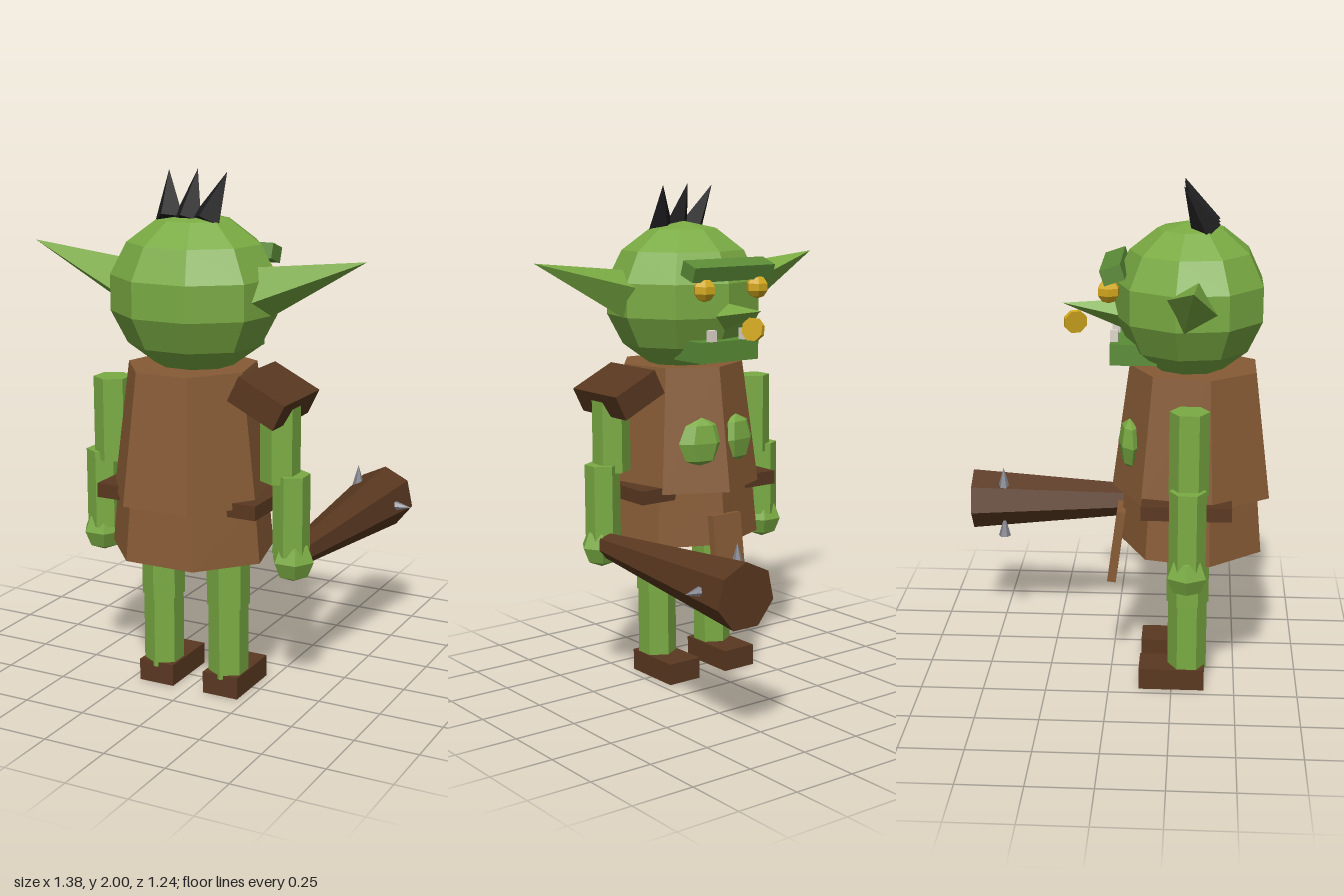
import * as THREE from 'three';

export function createModel() {
  const root = new THREE.Group();
  root.name = 'goblinWithClub';

  const mat = (name, color) => {
    const m = new THREE.MeshStandardMaterial({ color, flatShading: true });
    m.name = name;
    return m;
  };
  const skin = mat('skin green', 0x7aab43);
  const darkSkin = mat('dark green', 0x5b8c37);
  const leather = mat('tunic brown', 0x875b35);
  const wood = mat('dark brown', 0x5a3820);
  const gold = mat('gold', 0xd4aa1e);
  const black = mat('hair black', 0x1c1c1e);
  const metal = mat('spike grey', 0x80808a);
  const ivory = mat('tooth ivory', 0xded6ca);

  const add = (name, geometry, material, x, y, z) => {
    const m = new THREE.Mesh(geometry, material);
    m.name = name;
    m.position.set(x, y, z);
    root.add(m);
    return m;
  };
  const box = (name, w, h, d, material, x, y, z) =>
    add(name, new THREE.BoxGeometry(w, h, d), material, x, y, z);

  // Tapered prism running from point a (radius ra) to point b (radius rb)
  const limb = (name, a, b, ra, rb, sides, material, twist = 0) => {
    const from = new THREE.Vector3(...a), to = new THREE.Vector3(...b);
    const dir = to.clone().sub(from);
    const g = rb === 0
      ? new THREE.ConeGeometry(ra, dir.length(), sides)
      : new THREE.CylinderGeometry(rb, ra, dir.length(), sides);
    g.rotateY(twist);
    const mid = from.add(to).multiplyScalar(0.5);
    const m = add(name, g, material, mid.x, mid.y, mid.z);
    m.quaternion.setFromUnitVectors(new THREE.Vector3(0, 1, 0), dir.normalize());
    return m;
  };

  // Torso, skirt, belt and loincloth; the figure faces -z
  const tunic = new THREE.CylinderGeometry(0.25, 0.315, 0.495, 7).rotateY(Math.PI);
  add('tunic', tunic, leather, 0, 1.0375, 0.328).scale.set(0.98, 1, 1.03);
  const skirt = new THREE.CylinderGeometry(0.3, 0.323, 0.23, 7).rotateY(Math.PI);
  add('skirt', skirt, leather, 0, 0.685, 0.328).scale.set(1, 1, 0.91);
  box('belt', 0.67, 0.055, 0.345, wood, 0, 0.788, 0.302);
  box('loincloth', 0.14, 0.3, 0.035, leather, 0, 0.547, 0.022).rotation.x = 0.13;
  box('shoulderPad', 0.204, 0.105, 0.305, wood, 0.325, 1.193, 0.302).rotation.z = -0.46;

  // Head
  const head = new THREE.SphereGeometry(0.3, 9, 7).rotateY(-Math.PI / 2);
  add('head', head, skin, 0, 1.55, 0.303).scale.x = 1.09;
  box('brow', 0.39, 0.06, 0.082, darkSkin, 0, 1.672, 0.013).rotation.x = -0.33;
  box('jaw', 0.28, 0.082, 0.18, darkSkin, 0, 1.355, 0.09);
  limb('nose', [0, 1.485, 0.06], [0, 1.525, -0.19], 0.06, 0, 4, skin);
  const ring = new THREE.CylinderGeometry(0.047, 0.047, 0.02, 8).rotateX(Math.PI / 8).rotateZ(Math.PI / 2);
  ring.rotateX(Math.PI / 8);
  add('noseDisc', ring, gold, 0, 1.452, -0.141);

  // Hair spikes
  for (const i of [-1, 0, 1]) {
    limb('hairSpike', [i * 0.075, 1.82, 0.36], [i * 0.12, 2 - Math.abs(i) * 0.007, 0.275], 0.058, 0, 4, black);
  }

  // Mirrored parts
  for (const s of [-1, 1]) {
    limb('ear', [s * 0.275, 1.57, 0.31], [s * 0.688, 1.707, 0.32], 0.1, 0, 4, skin, s * 0.25);
    add('eye', new THREE.SphereGeometry(0.046, 6, 5), gold, s * 0.13, 1.6, -0.004);
    box('tooth', 0.03, 0.07, 0.03, ivory, s * 0.08, 1.405, 0.015);
    const chest = add('chestPatch', new THREE.SphereGeometry(0.1, 6, 4), skin, s * 0.085, 0.99, 0.075);
    chest.scale.z = 0.42;
    chest.rotation.y = -s * 0.2;
    limb('upperArm', [s * 0.357, 0.875, 0.31], [s * 0.357, 1.2, 0.31], 0.075, 0.075, 6, skin);
    limb('forearm', [s * 0.403, 0.6, 0.308], [s * 0.403, 0.906, 0.308], 0.07, 0.07, 6, skin);
    add('hand', new THREE.SphereGeometry(0.084, 6, 4), skin, s * 0.412, 0.575, 0.308);
    limb('thigh', [s * 0.142, 0.355, 0.31], [s * 0.142, 0.66, 0.31], 0.083, 0.083, 6, skin);
    limb('shin', [s * 0.142, 0.07, 0.31], [s * 0.142, 0.36, 0.31], 0.077, 0.077, 6, skin);
    box('foot', 0.148, 0.086, 0.26, wood, s * 0.14, 0.043, 0.25);
  }

  // Club with metal spikes
  limb('club', [0.412, 0.587, 0.26], [0.412, 0.575, -0.615], 0.05, 0.128, 7, wood);
  limb('clubSpikeTop', [0.345, 0.645, -0.48], [0.345, 0.735, -0.48], 0.026, 0, 6, metal);
  limb('clubSpikeBottom', [0.345, 0.43, -0.48], [0.345, 0.52, -0.48], 0.026, 0, 6, metal);
  limb('clubSpikeSide', [0.495, 0.582, -0.48], [0.58, 0.582, -0.48], 0.026, 0, 6, metal);

  return root;
}
